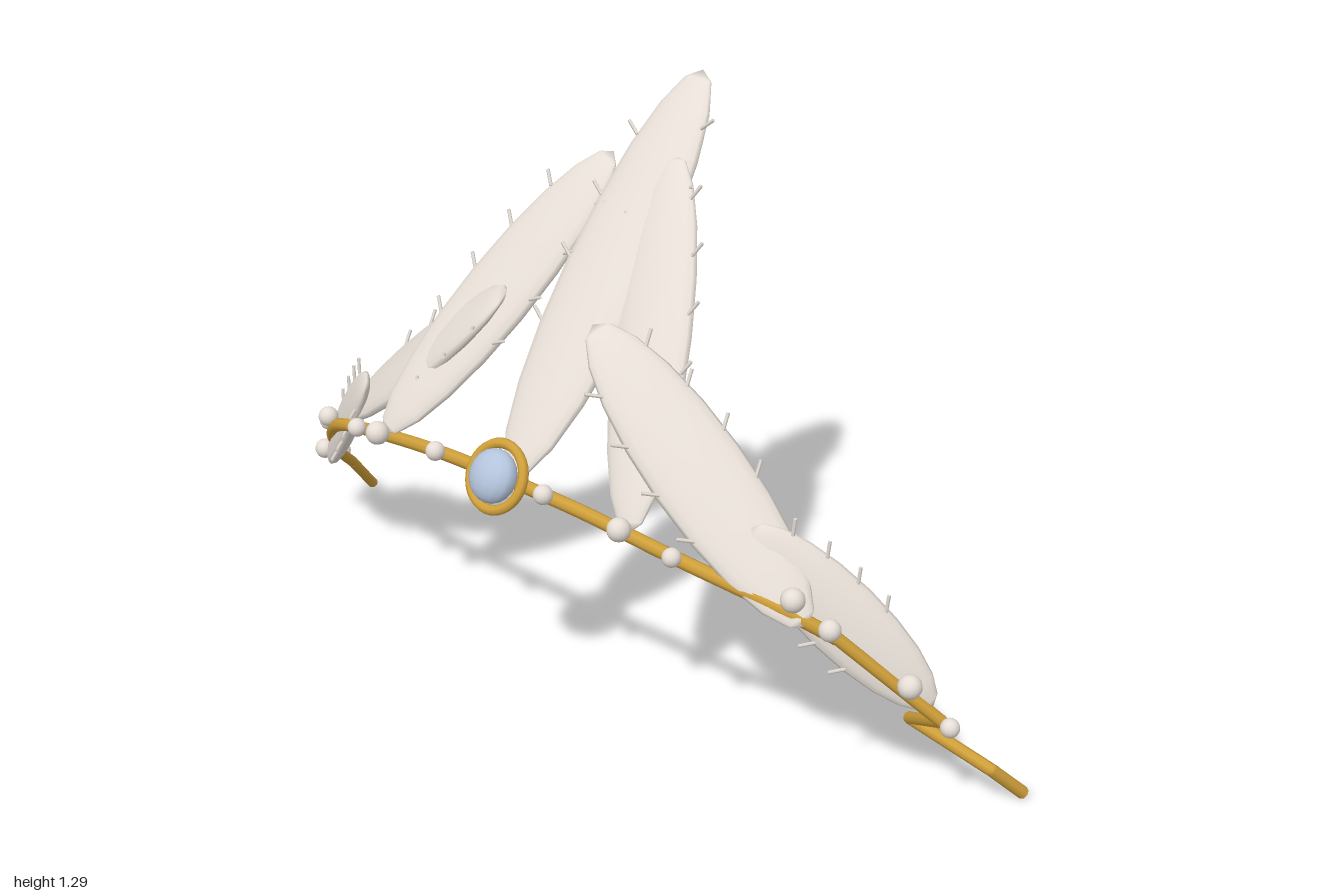
import * as THREE from 'three';

const V = (a) => new THREE.Vector3(...a);
const mat = (color) => new THREE.MeshStandardMaterial({ color });
const petalMat = mat(0xe6ded6), gold = mat(0xd0a03a), pearl = mat(0xe6ded6), gemMat = mat(0xb4c4dc);
const WIRE = 0.015;

function mesh(name, geometry, material, parent) {
  const m = new THREE.Mesh(geometry, material);
  m.name = name;
  parent.add(m);
  return m;
}

// Cylinder between two points
function rod(name, a, b, radius, material, parent, sides = 8) {
  const m = mesh(name, new THREE.CylinderGeometry(radius, radius, a.distanceTo(b), sides), material, parent);
  m.position.copy(a).lerp(b, 0.5);
  m.quaternion.setFromUnitVectors(new THREE.Vector3(0, 1, 0), b.clone().sub(a).normalize());
  return m;
}

// Flattened petal from base to tip, facing along normal, with fine barbs on its edges
function petal(name, base, tip, normal, halfWidth, thickness, parent) {
  const a = V(base), b = V(tip), half = a.distanceTo(b) / 2;
  const y = b.clone().sub(a).normalize();
  const x = y.clone().cross(V(normal)).normalize();
  const z = x.clone().cross(y);
  const g = new THREE.Group();
  g.name = name;
  g.quaternion.setFromRotationMatrix(new THREE.Matrix4().makeBasis(x, y, z));
  g.position.copy(a).lerp(b, 0.5);
  parent.add(g);

  const blade = new THREE.SphereGeometry(1, 18, 10);
  blade.scale(halfWidth, half, thickness);
  mesh('petalBlade', blade, petalMat, g);

  for (const side of [-1, 1]) {
    for (let i = 0; i < 4; i++) {
      const t = -0.25 + i * 0.31 + side * 0.05;
      const px = side * halfWidth * Math.sqrt(1 - t * t) * 0.9;
      const p = new THREE.Vector3(px, t * half, thickness * 0.3);
      const q = p.clone().add(new THREE.Vector3(side * 0.028, 0.022, 0.01));
      rod('barb', p, q, 0.004, petalMat, g, 5);
    }
  }
}

export function createModel() {
  const model = new THREE.Group();
  model.name = 'tiara';

  // Curved band
  const arc = [[-0.87, 0.22, -0.05], [-0.78, 0.34, 0.05], [-0.62, 0.45, 0.155], [-0.4, 0.515, 0.215],
    [-0.2, 0.55, 0.245], [0, 0.56, 0.255], [0.2, 0.55, 0.245], [0.4, 0.515, 0.215],
    [0.62, 0.46, 0.155], [0.72, 0.4, 0.09]].map(V);
  mesh('band', new THREE.TubeGeometry(new THREE.CatmullRomCurve3(arc), 72, WIRE, 8), gold, model);

  // Bent wire ends
  const ends = [
    [[-0.87, 0.22, -0.05], [-0.92, 0.15, -0.13], [-0.99, 0.02, -0.255]],
    [[0.72, 0.4, 0.09], [0.89, 0.22, -0.04], [0.74, 0.11, -0.155], [0.95, 0.085, -0.14], [0.99, 0.015, -0.205]],
  ];
  for (const end of ends) {
    const pts = end.map(V);
    for (let i = 0; i < pts.length - 1; i++) {
      rod('wireEnd', pts[i], pts[i + 1], 0.0135, gold, model);
      mesh('wireBend', new THREE.SphereGeometry(0.0135, 8, 6), gold, model).position.copy(pts[i]);
    }
  }

  // Petals: a tall centre one and three on each side
  const up = [0, 0.63, 0.77];
  petal('centrePetal', [0, 0.56, 0.25], [0, 1.295, -0.345], up, 0.112, 0.032, model);
  petal('leftInnerPetal', [0.31, 0.54, 0.235], [0.04, 1.155, -0.21], up, 0.092, 0.028, model);
  petal('rightInnerPetal', [-0.4, 0.53, 0.23], [-0.12, 1.125, -0.2], up, 0.098, 0.028, model);
  petal('leftMiddlePetal', [0.68, 0.43, 0.135], [0.11, 0.895, 0.12], [0.5, 0.62, 0.6], 0.098, 0.028, model);
  petal('rightMiddlePetal', [-0.67, 0.44, 0.1], [-0.18, 0.87, 0.07], [-0.5, 0.62, 0.6], 0.092, 0.028, model);
  petal('leftOuterPetal', [0.87, 0.25, -0.035], [0.53, 0.59, 0.13], [0.64, 0.27, 0.72], 0.078, 0.026, model);
  petal('rightOuterPetal', [-0.895, 0.215, -0.04], [-0.54, 0.58, 0.15], [-0.64, 0.27, 0.72], 0.075, 0.026, model);

  // Pearls along the band: x, y, z, radius
  const pearls = [
    [-0.955, 0.17, -0.13, 0.02], [-0.91, 0.225, -0.035, 0.024], [-0.78, 0.375, 0.06, 0.021],
    [-0.71, 0.43, 0.12, 0.023], [-0.5, 0.505, 0.22, 0.021], [-0.4, 0.535, 0.25, 0.026],
    [-0.2, 0.565, 0.27, 0.021], [0.12, 0.577, 0.28, 0.021], [0.31, 0.56, 0.265, 0.025],
    [0.425, 0.53, 0.24, 0.02], [0.655, 0.485, 0.15, 0.025], [0.717, 0.425, 0.11, 0.023],
    [0.852, 0.315, 0.025, 0.025], [0.915, 0.222, -0.03, 0.02],
  ];
  for (const [x, y, z, r] of pearls) {
    mesh('pearl', new THREE.SphereGeometry(r, 14, 10), pearl, model).position.set(x, y, z);
  }

  // Tilted centre stone in a ring setting
  const setting = new THREE.Group();
  setting.name = 'centreStone';
  setting.position.set(0.01, 0.588, 0.3);
  setting.rotation.x = -0.48;
  model.add(setting);
  mesh('settingRing', new THREE.TorusGeometry(0.069, 0.011, 8, 32), gold, setting);
  const stone = new THREE.SphereGeometry(1, 14, 10);
  stone.scale(0.057, 0.057, 0.036);
  mesh('stone', stone, gemMat, setting).position.z = 0.012;

  return model;
}
